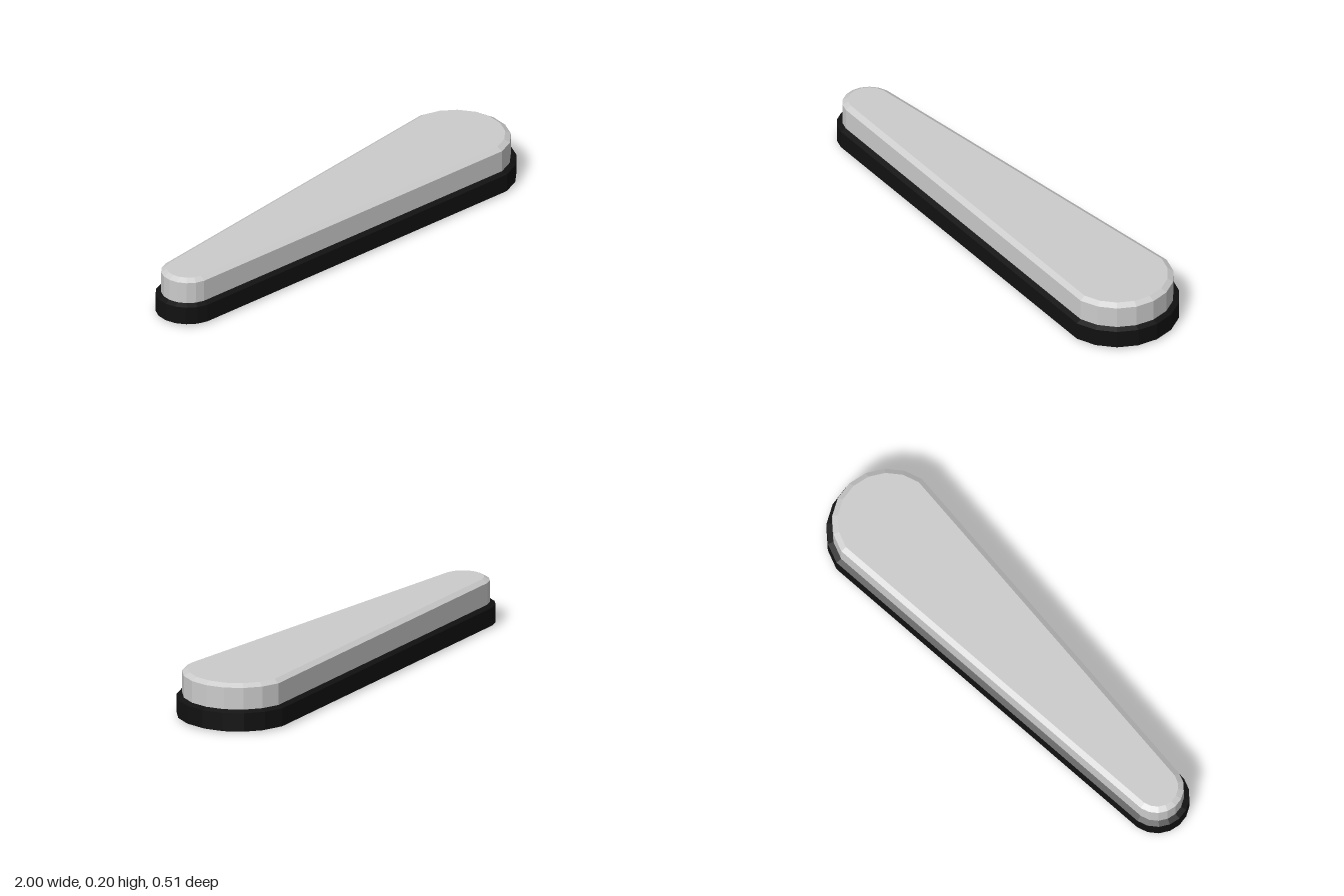
import * as THREE from 'three';

// Tapered outline: large round end at +x, small round end at -x, shrunk by an inset
function outline(inset) {
  const points = [];
  const ends = [{ x: 0.743, r: 0.257, turn: 0 }, { x: -0.865, r: 0.135, turn: 180 }];
  for (const { x, r, turn } of ends) {
    for (let deg = -80; deg <= 80; deg += 20) {
      const a = THREE.MathUtils.degToRad(deg + turn);
      points.push([x + (r - inset) * Math.cos(a), (r - inset) * Math.sin(a)]);
    }
  }
  return points;
}

// Sweeps a profile of [inset, y] pairs around the outline
function loft(profile, { closed = false, cap = false }) {
  const positions = [], index = [];
  for (const [inset, y] of profile) {
    for (const [x, z] of outline(inset)) positions.push(x, y, z);
  }
  const rows = profile.length;
  const n = positions.length / 3 / rows;
  for (let i = 0; i < (closed ? rows : rows - 1); i++) {
    const up = (i + 1) % rows;
    for (let j = 0; j < n; j++) {
      const k = (j + 1) % n;
      const a = i * n + j, b = up * n + j, c = i * n + k, d = up * n + k;
      index.push(a, b, c, c, b, d);
    }
  }
  if (cap) {
    const centre = positions.length / 3, start = (rows - 1) * n;
    positions.push(0, profile[rows - 1][1], 0);
    for (let j = 0; j < n; j++) index.push(start + j, centre, start + (j + 1) % n);
  }
  const geometry = new THREE.BufferGeometry();
  geometry.setAttribute('position', new THREE.Float32BufferAttribute(positions, 3));
  geometry.setIndex(index);
  geometry.computeVertexNormals();
  return geometry;
}

export function createModel() {
  const group = new THREE.Group();
  group.name = 'taperedPaddle';

  // Hollow body, open underneath, with a chamfered top edge
  const body = new THREE.Mesh(
    loft([[0.0235, 0.045], [0.0235, 0.188], [0.047, 0.202]], { cap: true }),
    new THREE.MeshStandardMaterial({ color: 0xcccccc, flatShading: true, side: THREE.DoubleSide })
  );
  body.name = 'body';

  // Dark band around the lower edge, chamfered above and below
  const band = new THREE.Mesh(
    loft([[0.0235, 0], [0, 0.009], [0, 0.086], [0.0235, 0.095], [0.047, 0.086], [0.047, 0.009]], { closed: true }),
    new THREE.MeshStandardMaterial({ color: 0x111111, flatShading: true })
  );
  band.name = 'rubberBand';

  group.add(body, band);
  return group;
}
